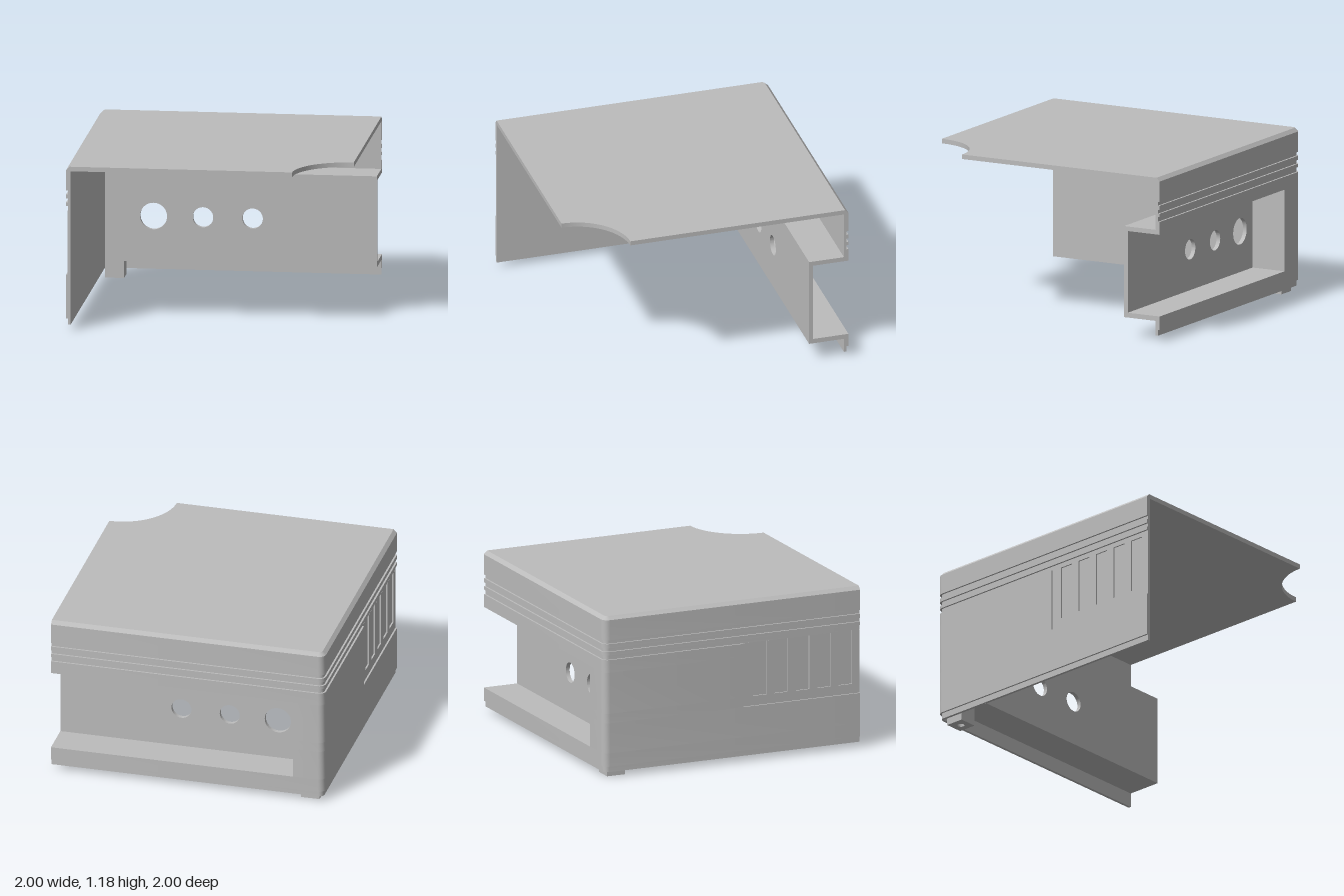
import * as THREE from 'three';
import { toCreasedNormals } from 'three/addons/utils/BufferGeometryUtils.js';

const IN = -0.967; // inner face of the walls
const R = 0.05;    // radius of the upright corner
const C = -1 + R;  // centre of that corner

// Rounded corner points from the back face to the left face, set in by d
function corner(d) {
  const pts = [];
  for (let i = 0; i <= 6; i++) {
    const a = (i / 6) * Math.PI / 2;
    pts.push([C - (R - d) * Math.sin(a), C - (R - d) * Math.cos(a)]);
  }
  return pts;
}

const planShape = pts => new THREE.Shape(pts.map(([x, z]) => new THREE.Vector2(x, -z)));

// Extrude a plan (x, -z) upward from y0 to y1
function rise(shape, y0, y1, options = {}) {
  const g = new THREE.ExtrudeGeometry(shape, { depth: y1 - y0, bevelEnabled: false, curveSegments: 24, ...options });
  return g.rotateX(-Math.PI / 2).translate(0, y0, 0);
}

// L-shaped wall plan; xEnd is where the back wall stops, vent: 0 none, 1 panel, 2 panel and slots
function wallPlan(inset, xEnd, vent) {
  const pts = [[xEnd, -1 + inset], ...corner(inset)];
  if (vent) {
    pts.push([-1, 0.09], [-0.988, 0.09]);
    if (vent === 2) {
      for (let i = 0; i < 5; i++) {
        const z = 0.17 + i * 0.167;
        pts.push([-0.988, z], [-0.977, z], [-0.977, z + 0.105], [-0.988, z + 0.105]);
      }
    }
    pts.push([-0.988, 1]);
  } else {
    pts.push([-1 + inset, 1]);
  }
  pts.push([IN, 1], [IN, IN], [xEnd, IN]);
  return planShape(pts);
}

export function createModel() {
  const model = new THREE.Group();
  model.name = 'enclosureQuarter';
  const grey = new THREE.MeshStandardMaterial({ color: 0xbcbcbc });
  grey.name = 'casing grey';

  const add = (name, geometry, parent = model) => {
    const mesh = new THREE.Mesh(toCreasedNormals(geometry, 0.6), grey);
    mesh.name = name;
    parent.add(mesh);
  };
  const box = (name, x0, x1, y0, y1, z0, z1, parent) => add(name,
    new THREE.BoxGeometry(x1 - x0, y1 - y0, z1 - z0)
      .translate((x0 + x1) / 2, (y0 + y1) / 2, (z0 + z1) / 2), parent);

  // Back and left walls in bands: name, bottom, top, inset, end of back wall, vent
  const walls = new THREE.Group();
  walls.name = 'walls';
  model.add(walls);
  const bands = [
    ['bottomLip', 0.04, 0.083, 0.013, 1, 0],
    ['lowerWall', 0.083, 0.18, 0, 1, 0],
    ['openingWall', 0.18, 0.4, 0, -0.77, 0],
    ['ventSill', 0.4, 0.47, 0, -0.77, 1],
    ['ventWall', 0.47, 0.77, 0, -0.77, 2],
    ['ventTop', 0.77, 0.863, 0, 1, 2],
    ['groove', 0.863, 0.897, 0.013, 1, 0],
    ['rib', 0.897, 0.922, 0, 1, 0],
    ['groove', 0.922, 0.95, 0.013, 1, 0],
    ['rib', 0.95, 0.98, 0, 1, 0],
    ['groove', 0.98, 1.008, 0.013, 1, 0],
    ['upperWall', 1.008, 1.147, 0, 1, 0],
  ];
  for (const [name, y0, y1, inset, xEnd, vent] of bands) {
    add(name, rise(wallPlan(inset, xEnd, vent), y0, y1), walls);
  }

  // Roof with a round cut-out at the front and a chamfer along the outer edges
  const roof = planShape([[1, -1], ...corner(0), [-1, 1], [0.61, 1]]);
  roof.absarc(1, -1, 0.39, Math.PI, Math.PI / 2, true);
  const roofGeo = rise(roof, 1.147, 1.18, { steps: 2 });
  const p = roofGeo.attributes.position;
  for (let i = 0; i < p.count; i++) {
    const x = p.getX(i), y = p.getY(i), z = p.getZ(i);
    if (y > 1.179) {
      if (x < C + 1e-4 && z < C + 1e-4) {
        p.setX(i, C + (x - C) / 2);
        p.setZ(i, C + (z - C) / 2);
      } else if (x < -0.999) p.setX(i, -0.975);
      else if (z < -0.999) p.setZ(i, -0.975);
    } else if (y > 1.15) p.setY(i, 1.155);
  }
  add('roof', roofGeo);

  // Connector recess set into the back wall
  const recess = new THREE.Group();
  recess.name = 'connectorRecess';
  model.add(recess);
  box('recessTop', -0.8, 1, 0.77, 0.803, IN, -0.74, recess);
  box('recessFloor', -0.8, 1, 0.145, 0.18, IN, -0.74, recess);
  box('recessEnd', -0.8, -0.77, 0.18, 0.77, IN, -0.74, recess);
  const plate = new THREE.Shape([[-0.8, 0.145], [1, 0.145], [1, 0.803], [-0.8, 0.803]]
    .map(([x, y]) => new THREE.Vector2(x, y)));
  for (const [x, r] of [[-0.59, 0.096], [-0.238, 0.073], [0.115, 0.073]]) {
    plate.holes.push(new THREE.Path().absarc(x, 0.475, r, 0, Math.PI * 2, true));
  }
  add('connectorPlate', new THREE.ExtrudeGeometry(plate, { depth: 0.03, bevelEnabled: false, curveSegments: 32 })
    .translate(0, 0, -0.74), recess);

  // Corner screw post with a bore
  const post = planShape([[-0.95, -0.95], [-0.95, -0.813], [-0.813, -0.813], [-0.813, -0.95]]);
  post.holes.push(new THREE.Path().absarc(-0.881, 0.881, 0.025, 0, Math.PI * 2, true));
  add('screwPost', rise(post, 0, 1.147));

  return model;
}
